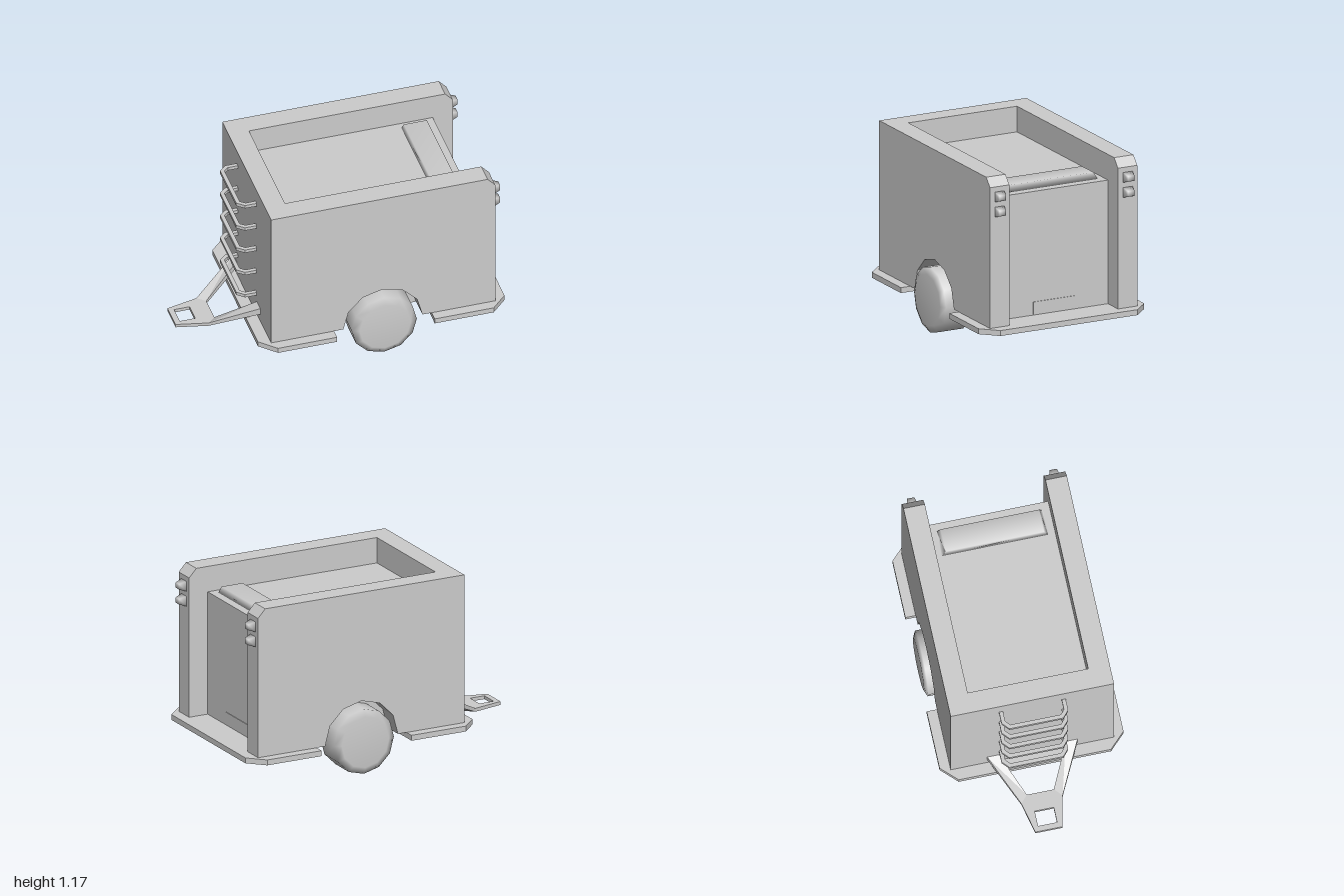
import * as THREE from 'three';
import { mergeVertices } from 'three/addons/utils/BufferGeometryUtils.js';

const material = new THREE.MeshStandardMaterial({ color: 0xcccccc });

function add(group, name, geometry, x = 0, y = 0, z = 0) {
  const mesh = new THREE.Mesh(geometry, material);
  mesh.name = name;
  mesh.position.set(x, y, z);
  group.add(mesh);
  return mesh;
}

// Box given by its two extreme corners
function addBox(group, name, a, b) {
  const size = b.map((v, i) => v - a[i]);
  const mid = b.map((v, i) => (v + a[i]) / 2);
  return add(group, name, new THREE.BoxGeometry(...size), ...mid);
}

const toShape = (points) => new THREE.Shape(points.map((p) => new THREE.Vector2(...p)));

// Plan outline (x, z), symmetric about z = 0: half the outline is given and mirrored
const mirrored = (half) => toShape([...half, ...half.map(([x, z]) => [x, -z]).reverse()]);

// Slab lying flat with its underside at y = 0
function slab(shape, height) {
  const geometry = new THREE.ExtrudeGeometry(shape, { depth: height, bevelEnabled: false });
  return geometry.rotateX(-Math.PI / 2);
}

// Softly shaded block whose upper (+y) end shrinks by the given factors
function softBlock(w, h, d, topX, topZ) {
  const geometry = new THREE.BoxGeometry(w, h, d);
  const p = geometry.attributes.position;
  for (let i = 0; i < p.count; i++) {
    if (p.getY(i) > 0) p.setXYZ(i, p.getX(i) * topX, p.getY(i), p.getZ(i) * topZ);
  }
  geometry.deleteAttribute('normal');
  geometry.deleteAttribute('uv');
  const merged = mergeVertices(geometry);
  merged.computeVertexNormals();
  return merged;
}

export function createModel() {
  const model = new THREE.Group();
  model.name = 'cargoTrailer';

  // Side walls with chamfered rear corner and twelve-sided wheel arch
  const outline = [[-0.515, 0.215], [-0.515, 1.175], [0.88, 1.175], [0.93, 1.12], [0.93, 0.215]];
  for (let i = 0; i <= 6; i++) {
    const a = (i * Math.PI) / 6;
    outline.push([0.205 + 0.255 * Math.cos(a), 0.215 + 0.255 * Math.sin(a)]);
  }
  const wall = new THREE.ExtrudeGeometry(toShape(outline), { depth: 0.135, bevelEnabled: false });
  add(model, 'leftWall', wall, 0, 0, 0.38);
  add(model, 'rightWall', wall, 0, 0, -0.515);

  // End wall and recessed cargo box
  addBox(model, 'hitchEndWall', [-0.515, 0.215, -0.38], [-0.385, 1.175, 0.38]);
  addBox(model, 'cargoBox', [-0.385, 0.215, -0.38], [0.8, 1.01, 0.38]);
  addBox(model, 'rearPlate', [0.795, 0.22, -0.143], [0.804, 0.3, 0.143]);

  // Raised roll across the cargo lid
  add(model, 'lidRoll', softBlock(0.165, 0.045, 0.67, 0.9, 0.925), 0.667, 1.0325, 0);

  // Chamfered base plates at both ends
  add(model, 'hitchEndBase',
    slab(mirrored([[-0.11, 0.58], [-0.49, 0.58], [-0.59, 0.48]]), 0.035), 0, 0.18, 0);
  // Given in reverse order of x so both plates share one rule
  add(model, 'rearBase',
    slab(mirrored([[1, 0.48], [0.9, 0.58], [0.52, 0.58]]), 0.035), 0, 0.18, 0);

  // Wheels
  const profile = [[0, -0.1], [0.18, -0.1], [0.21, -0.09], [0.21, 0.085], [0.165, 0.105], [0, 0.105]];
  const wheel = new THREE.LatheGeometry(profile.map((p) => new THREE.Vector2(...p)), 12);
  for (const side of [1, -1]) {
    const mesh = add(model, side > 0 ? 'leftWheel' : 'rightWheel', wheel, 0.205, 0.215, side * 0.46);
    mesh.rotation.x = (side * Math.PI) / 2;
  }

  // Tail lights: short square base with a tapered lens
  for (const side of [1, -1]) {
    for (const y of [0.958, 1.055]) {
      const light = new THREE.Group();
      light.name = 'tailLight';
      light.position.set(0.925, y, side * 0.449);
      light.rotation.z = -Math.PI / 2;
      add(light, 'lens', softBlock(0.068, 0.05, 0.068, 0.5, 0.65), 0, 0.025, 0);
      model.add(light);
    }
  }

  // Ladder rungs on the hitch end
  const rung = slab(mirrored([
    [-0.51, 0.21], [-0.59, 0.21], [-0.635, 0.17],
  ].concat([])), 0.022);
  rung.dispose();
  const rungShape = toShape([
    [-0.51, 0.21], [-0.59, 0.21], [-0.635, 0.17], [-0.635, -0.17], [-0.59, -0.21], [-0.51, -0.21],
    [-0.51, -0.185], [-0.58, -0.185], [-0.61, -0.16], [-0.61, 0.16], [-0.58, 0.185], [-0.51, 0.185],
  ]);
  const rungGeometry = slab(rungShape, 0.022);
  for (let i = 0; i < 5; i++) add(model, 'ladderRung', rungGeometry, 0, 0.36 + i * 0.174, 0);

  // Forked drawbar with a square eye, its arms lifted to meet the body
  const bar = mirrored([[-0.75, 0.085], [-0.515, 0.21], [-0.515, 0.285], [-0.8, 0.13], [-1, 0.085]]);
  bar.holes.push(new THREE.Path(
    [[-0.965, -0.06], [-0.865, -0.06], [-0.865, 0.06], [-0.965, 0.06]].map((p) => new THREE.Vector2(...p)),
  ));
  const drawbar = slab(bar, 0.022);
  const p = drawbar.attributes.position;
  for (let i = 0; i < p.count; i++) {
    if (p.getX(i) > -0.7) p.setY(i, p.getY(i) * 2 + 0.14);
  }
  drawbar.computeVertexNormals();
  add(model, 'drawbar', drawbar, 0, 0.127, 0);

  return model;
}
